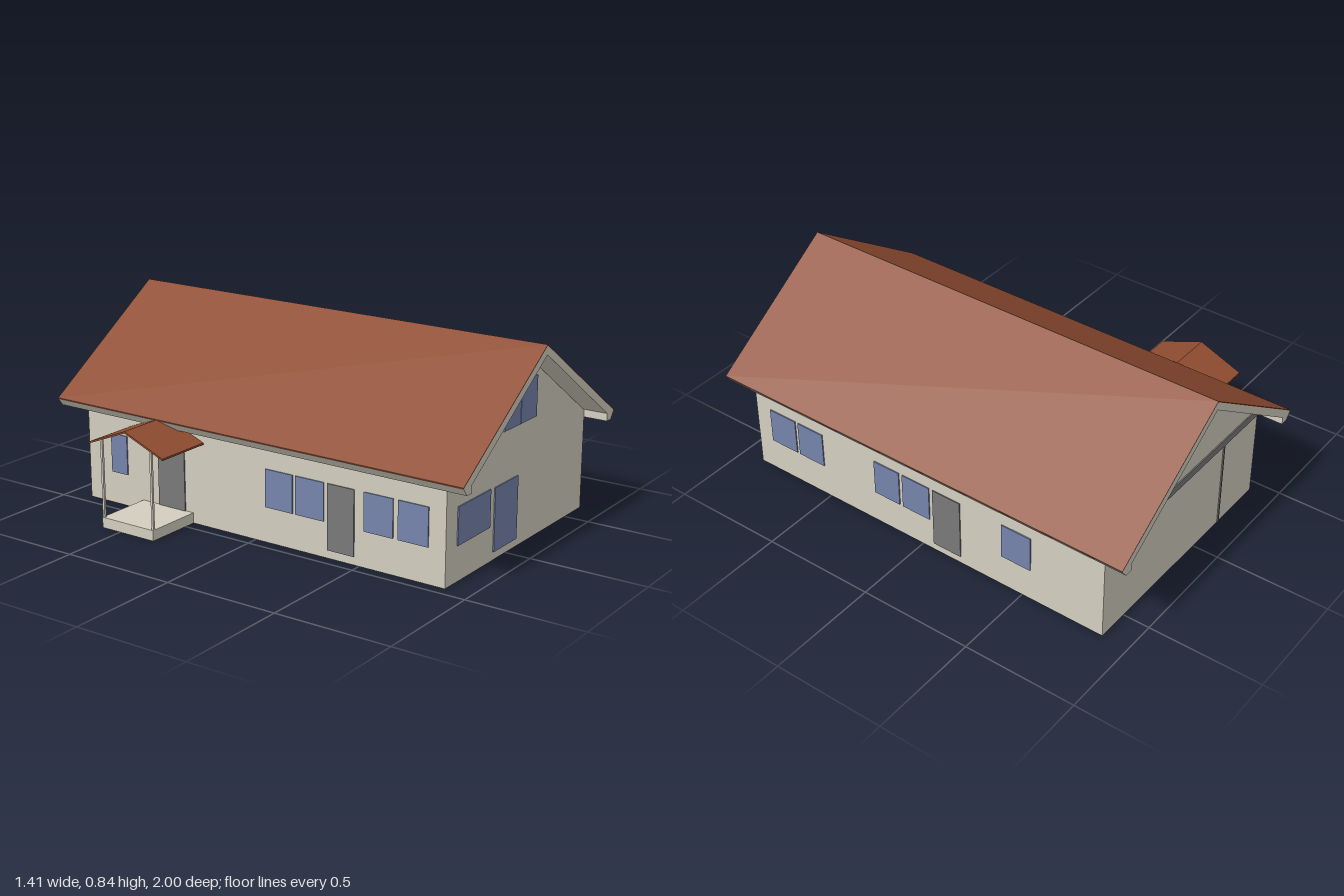
import * as THREE from 'three';

const mat = (name, color) => {
  const m = new THREE.MeshStandardMaterial({ color, side: THREE.DoubleSide, flatShading: true });
  m.name = name;
  return m;
};

export function createModel() {
  const model = new THREE.Group();
  model.name = 'house';
  const cream = mat('creamPlaster', 0xd3cebf);
  const tile = mat('roofTile', 0x8f4c30);
  const glass = mat('blueGlass', 0x7584ab);
  const grey = mat('grey', 0x797979);

  const add = (name, geo, material, parent = model) => {
    const mesh = new THREE.Mesh(geo, material);
    mesh.name = name;
    parent.add(mesh);
    return mesh;
  };
  // box given by its limits
  const box = (name, material, x0, x1, y0, y1, z0, z1) => {
    const mesh = add(name, new THREE.BoxGeometry(x1 - x0, y1 - y0, z1 - z0), material);
    mesh.position.set((x0 + x1) / 2, (y0 + y1) / 2, (z0 + z1) / 2);
    return mesh;
  };
  // profile in x,y extruded along z
  const prism = (name, material, points, z0, z1) => {
    const shape = new THREE.Shape(points.map(([x, y]) => new THREE.Vector2(x, y)));
    const geo = new THREE.ExtrudeGeometry(shape, { depth: z1 - z0, bevelEnabled: false });
    geo.translate(0, 0, z0);
    return add(name, geo, material);
  };

  const L = -0.45, R = 0.64, MID = 0.095, ZB = -0.885, ZF = 0.89, T = 0.005;

  // walls with both gables
  prism('walls', cream, [[L, 0.003], [R, 0.003], [R, 0.43], [MID, 0.8], [L, 0.43]], ZB, ZF);

  // underside of the floor, with a paler area along one side
  box('floorMain', grey, -0.1, R, 0, 0.003, ZB, ZF);
  box('floorBack', grey, L, -0.1, 0, 0.003, ZB, -0.37);
  box('floorSide', cream, L, -0.1, 0, 0.003, -0.37, ZF);

  // roof body with boxed eaves
  prism('roofBody', cream, [
    [-0.51, 0.433], [MID, 0.838], [0.7, 0.433], [0.675, 0.4], [R, 0.4],
    [R, 0.433], [MID, 0.802], [L, 0.433], [L, 0.4], [-0.485, 0.4],
  ], -1, 0.995);

  // tiled slopes
  for (const [name, x] of [['roofTilesRight', -0.51], ['roofTilesLeft', 0.7]]) {
    prism(name, tile, [[x, 0.433], [x, 0.437], [MID, 0.842], [MID, 0.838]], -1, 0.995);
  }

  // front openings: x0, x1, y0, y1
  for (const [x0, x1, y0, y1] of [
    [-0.04, 0.085, 0.51, 0.68], [0.089, 0.215, 0.51, 0.68],
    [-0.37, -0.13, 0.147, 0.303], [-0.097, 0.083, 0.035, 0.3],
  ]) box('frontWindow', glass, x0, x1, y0, y1, ZF, ZF + T);

  // side openings: material, z0, z1, y0, y1
  const leftSide = [
    [glass, 0.67, 0.81, 0.15, 0.31], [glass, 0.52, 0.655, 0.15, 0.31],
    [glass, 0.11, 0.24, 0.15, 0.31], [glass, -0.045, 0.093, 0.15, 0.31],
    [grey, -0.2, -0.063, 0.035, 0.31], [glass, -0.545, -0.405, 0.15, 0.31],
  ];
  const rightSide = [
    [glass, -0.757, -0.67, 0.14, 0.31], [grey, -0.5, -0.36, 0.04, 0.31],
    [glass, 0.055, 0.188, 0.15, 0.31], [glass, 0.202, 0.338, 0.15, 0.31],
    [grey, 0.355, 0.48, 0.035, 0.31],
    [glass, 0.525, 0.658, 0.15, 0.31], [glass, 0.68, 0.815, 0.15, 0.31],
  ];
  for (const [m, z0, z1, y0, y1] of leftSide)
    box(m === grey ? 'leftDoor' : 'leftWindow', m, R, R + T, y0, y1, z0, z1);
  for (const [m, z0, z1, y0, y1] of rightSide)
    box(m === grey ? 'rightDoor' : 'rightWindow', m, L - T, L, y0, y1, z0, z1);

  // band and joint on the back wall
  box('backBand', grey, L, R, 0.4, 0.432, ZB - T, ZB);
  box('backJoint', grey, -0.194, -0.186, 0.003, 0.4, ZB - T, ZB);

  // porch: slab, two posts and a small gabled roof
  const PZ = -0.455;
  box('porchSlab', cream, -0.705, L, 0, 0.045, PZ - 0.135, PZ + 0.135);
  for (const s of [-1, 1]) {
    const z = PZ + s * 0.13;
    box('porchPost', cream, -0.702, -0.692, 0.045, 0.378, z - 0.005, z + 0.005);
    const slope = new THREE.Shape([
      new THREE.Vector2(0, 0.428), new THREE.Vector2(0, 0.436),
      new THREE.Vector2(0.195, 0.358), new THREE.Vector2(0.195, 0.35),
    ]);
    const geo = new THREE.ExtrudeGeometry(slope, { depth: 0.255, bevelEnabled: false });
    const roof = add('porchRoof', geo, tile);
    roof.rotation.y = s * -Math.PI / 2;
    roof.position.set(s > 0 ? L : -0.705, 0, PZ);
  }

  model.rotation.y = -0.005;
  return model;
}
